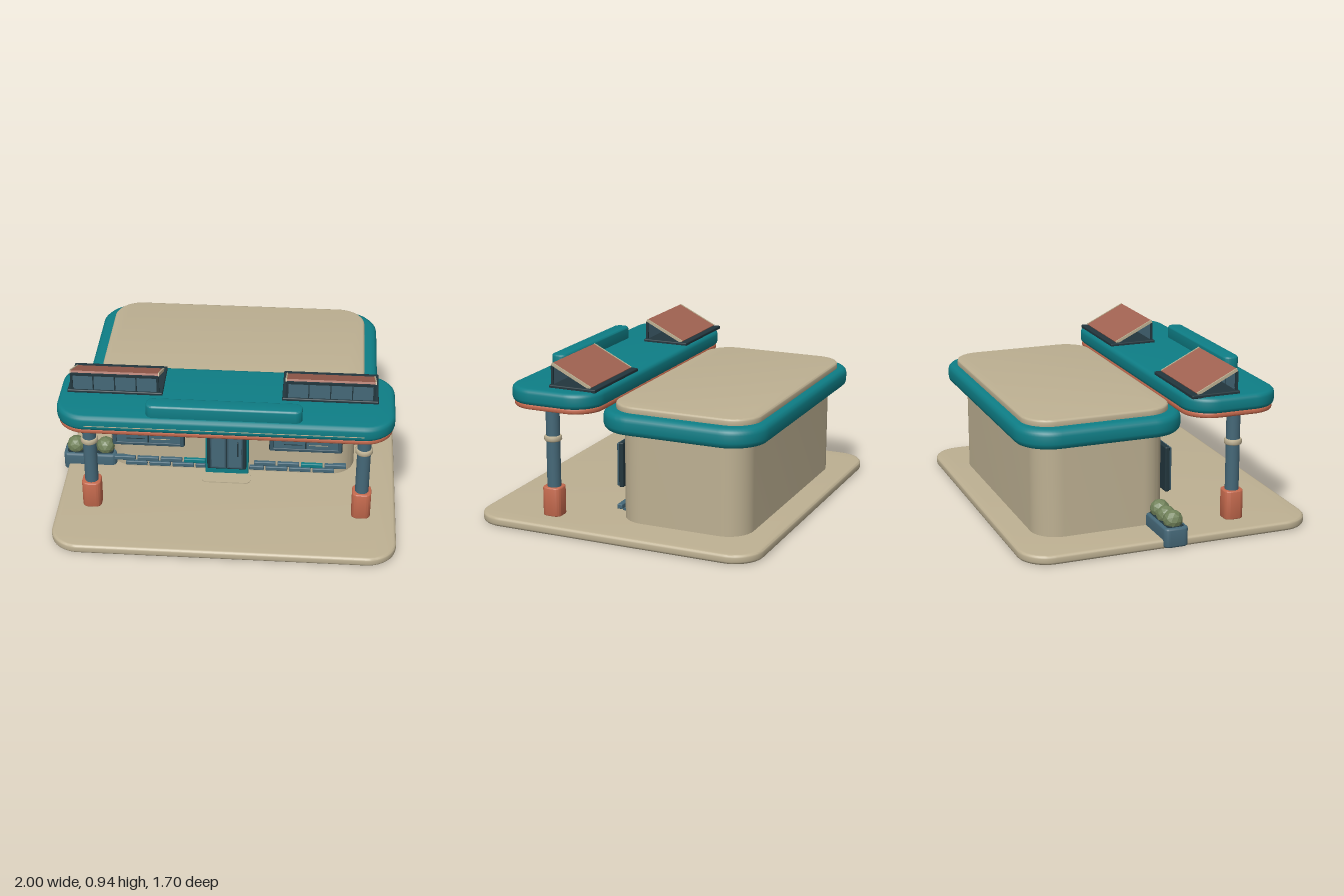
import * as THREE from 'three';
import { toCreasedNormals } from 'three/addons/utils/BufferGeometryUtils.js';
import { RoundedBoxGeometry } from 'three/addons/geometries/RoundedBoxGeometry.js';

const paint = (name, color) => {
  const m = new THREE.MeshStandardMaterial({ color });
  m.name = name;
  return m;
};

export function createModel() {
  const root = new THREE.Group();
  root.name = 'pavilion';
  const sand = paint('sand', 0xbdb092);
  const teal = paint('teal', 0x0e7e86);
  const slate = paint('slate', 0x456878);
  const frameBlue = paint('frame blue', 0x3a5866);
  const dark = paint('dark frame', 0x22363d);
  const copper = paint('copper', 0xc4694d);
  const rust = paint('rust panel', 0xa26352);
  const green = paint('leaf green', 0x71825a);

  const add = (name, geo, mat, parent = root) => {
    const m = new THREE.Mesh(geo, mat);
    m.name = name;
    parent.add(m);
    return m;
  };
  const group = (name, x = 0, y = 0, z = 0) => {
    const g = new THREE.Group();
    g.name = name;
    g.position.set(x, y, z);
    root.add(g);
    return g;
  };

  // Horizontal slab with rounded plan corners (r) and bevelled edges (b)
  const slab = (name, mat, [x0, x1], [y0, y1], [z0, z1], r, b, parent = root) => {
    const w = (x1 - x0) / 2 - b, d = (z1 - z0) / 2 - b, c = Math.max(r - b, 0.004);
    const s = new THREE.Shape();
    s.moveTo(w, -d + c);
    s.absarc(w - c, d - c, c, 0, Math.PI / 2);
    s.absarc(-w + c, d - c, c, Math.PI / 2, Math.PI);
    s.absarc(-w + c, -d + c, c, Math.PI, Math.PI * 1.5);
    s.absarc(w - c, -d + c, c, Math.PI * 1.5, Math.PI * 2);
    const geo = new THREE.ExtrudeGeometry(s, {
      depth: y1 - y0 - 2 * b, bevelEnabled: b > 0, bevelSize: b, bevelThickness: b,
      bevelSegments: 3, curveSegments: 8,
    });
    geo.rotateX(-Math.PI / 2);
    geo.translate((x0 + x1) / 2, y0 + b, (z0 + z1) / 2);
    return add(name, toCreasedNormals(geo, 0.6), mat, parent);
  };
  // Small box given by its extents, softly rounded when r > 0
  const block = (name, mat, [x0, x1], [y0, y1], [z0, z1], r = 0, parent = root) => {
    const size = [x1 - x0, y1 - y0, z1 - z0];
    const geo = r ? new RoundedBoxGeometry(...size, 2, r) : new THREE.BoxGeometry(...size);
    const m = add(name, geo, mat, parent);
    m.position.set((x0 + x1) / 2, (y0 + y1) / 2, (z0 + z1) / 2);
    return m;
  };

  // Ground, building and roof
  slab('groundSlab', sand, [-0.97, 1], [0, 0.052], [-0.85, 0.85], 0.17, 0.015);
  slab('walls', sand, [-0.725, 0.755], [0.05, 0.6], [-0.7, 0.062], 0.15, 0);
  slab('roofBand', teal, [-0.82, 0.865], [0.58, 0.692], [-0.8, 0.16], 0.21, 0.035);
  slab('roofDeck', sand, [-0.745, 0.79], [0.68, 0.727], [-0.75, 0.1], 0.16, 0.012);

  // Front canopy with copper soffit and raised parapet
  slab('canopySoffit', copper, [-0.915, 0.945], [0.69, 0.722], [0.118, 0.65], 0.16, 0.01);
  slab('canopy', teal, [-0.925, 0.955], [0.715, 0.805], [0.11, 0.662], 0.17, 0.025);
  slab('parapet', teal, [-0.415, 0.445], [0.79, 0.878], [0.542, 0.637], 0.04, 0.012);
  block('canopyTrim', sand, [-0.755, 0.785], [0.747, 0.751], [0.655, 0.664]);

  // Columns
  for (const x of [-0.768, 0.797]) {
    const g = group('column', x, 0, 0.43);
    slab('columnBase', copper, [-0.055, 0.055], [0.05, 0.218], [-0.056, 0.056], 0.035, 0.006, g);
    add('columnShaft', new THREE.CylinderGeometry(0.039, 0.039, 0.49, 24), slate, g).position.y = 0.445;
    const ring = [[0.03, 0.484], [0.044, 0.484], [0.05, 0.491], [0.05, 0.509], [0.044, 0.516], [0.03, 0.516]];
    add('columnRing', new THREE.LatheGeometry(ring.map(p => new THREE.Vector2(...p)), 24), sand, g);
  }

  // Sloped roof monitors on the canopy
  for (const x of [-0.611, 0.594]) {
    const g = group('roofMonitor', x, 0, 0);
    block('monitorBase', dark, [-0.268, 0.268], [0.8, 0.821], [0.13, 0.415], 0.006, g);
    block('monitorGlass', slate, [-0.24, 0.24], [0.82, 0.925], [0.395, 0.403], 0, g);
    for (let i = 0; i <= 4; i++) {
      const cx = -0.242 + i * 0.121;
      const hw = i % 4 ? 0.003 : 0.007;
      block('monitorPost', dark, [cx - hw, cx + hw], [0.82, 0.925], [0.395, 0.409], 0, g);
    }
    block('monitorTopRail', dark, [-0.249, 0.249], [0.912, 0.926], [0.395, 0.409], 0, g);
    // Panel slopes down toward the back
    const dy = 0.115, dz = 0.235;
    const tilt = group('slopedPanel', 0, 0.878, 0.285);
    g.add(tilt);
    tilt.rotation.x = -Math.atan2(dy, dz);
    const len = Math.hypot(dy, dz);
    block('panelSheet', rust, [-0.245, 0.245], [-0.006, 0.006], [-len / 2, len / 2], 0, tilt);
    for (const s of [-1, 1])
      block('panelEdge', sand, [s * 0.248 - 0.004, s * 0.248 + 0.004], [-0.008, 0.009], [-len / 2, len / 2], 0, tilt);
  }

  // Windows
  for (const x of [-0.477, 0.464]) {
    const g = group('window', x, 0, 0);
    block('windowFrame', dark, [-0.218, 0.218], [0.22, 0.482], [0.055, 0.083], 0.008, g);
    for (const s of [-1, 1]) {
      block('frameSide', frameBlue, [s * 0.202 - 0.011, s * 0.202 + 0.011], [0.226, 0.476], [0.07, 0.094], 0.004, g);
      const y = 0.351 + s * 0.115;
      block('frameRail', frameBlue, [-0.212, 0.212], [y - 0.01, y + 0.01], [0.07, 0.094], 0.004, g);
    }
    block('glass', slate, [-0.19, 0.19], [0.247, 0.456], [0.08, 0.086], 0, g);
    block('mullion', dark, [-0.004, 0.004], [0.247, 0.456], [0.08, 0.091], 0, g);
    block('transom', dark, [-0.19, 0.19], [0.411, 0.417], [0.08, 0.091], 0, g);
    block('glint', sand, [0.018, 0.13], [0.269, 0.273], [0.083, 0.088], 0, g);
    block('lowerLine', dark, [-0.13, -0.02], [0.269, 0.273], [0.083, 0.088], 0, g);
  }

  // Double door
  const door = group('door');
  block('doorSurround', teal, [-0.134, 0.124], [0.052, 0.525], [0.055, 0.107], 0.008, door);
  block('doorFrame', dark, [-0.122, 0.112], [0.1, 0.51], [0.09, 0.127], 0.008, door);
  for (const s of [-1, 1]) {
    const c = -0.005 + s * 0.05;
    block('doorLeaf', frameBlue, [c - 0.047, c + 0.047], [0.112, 0.498], [0.11, 0.136], 0.004, door);
    block('doorGlass', slate, [c - 0.038, c + 0.038], [0.125, 0.485], [0.132, 0.139], 0, door);
  }
  block('doorHandle', dark, [0.058, 0.068], [0.21, 0.31], [0.136, 0.152], 0.004, door);
  slab('doorMat', sand, [-0.15, 0.14], [0.05, 0.058], [0.06, 0.2], 0.03, 0);

  // Two courses of facing bricks, interrupted by the door
  const courses = [[-0.69, 0.102, 10, [3, 8]], [-0.619, 0.069, 9, []]];
  for (const [start, y, count, accents] of courses)
    for (let i = 0; i < count; i++) {
      const a = start + i * 0.141, b = a + 0.13;
      const x0 = a < 0 ? a : Math.max(a, 0.128);
      const x1 = a < 0 ? Math.min(b, -0.137) : b;
      if (x1 - x0 > 0.03)
        block('brick', accents.includes(i) ? teal : slate, [x0, x1], [y, y + 0.027], [0.05, 0.082], 0.005);
    }

  // Planter with bushes
  slab('planter', slate, [-1, -0.68], [0.01, 0.122], [-0.07, 0.07], 0.03, 0.012);
  slab('planterSoil', dark, [-0.98, -0.7], [0.115, 0.125], [-0.05, 0.05], 0.02, 0);
  [-0.93, -0.84, -0.75].forEach((x, i) => {
    const geo = toCreasedNormals(new THREE.IcosahedronGeometry(0.056, 1), 0.3);
    const bush = add('bush', geo, green);
    bush.position.set(x, i === 1 ? 0.143 : 0.149, 0);
    bush.rotation.y = i * 0.8;
  });
  return root;
}
